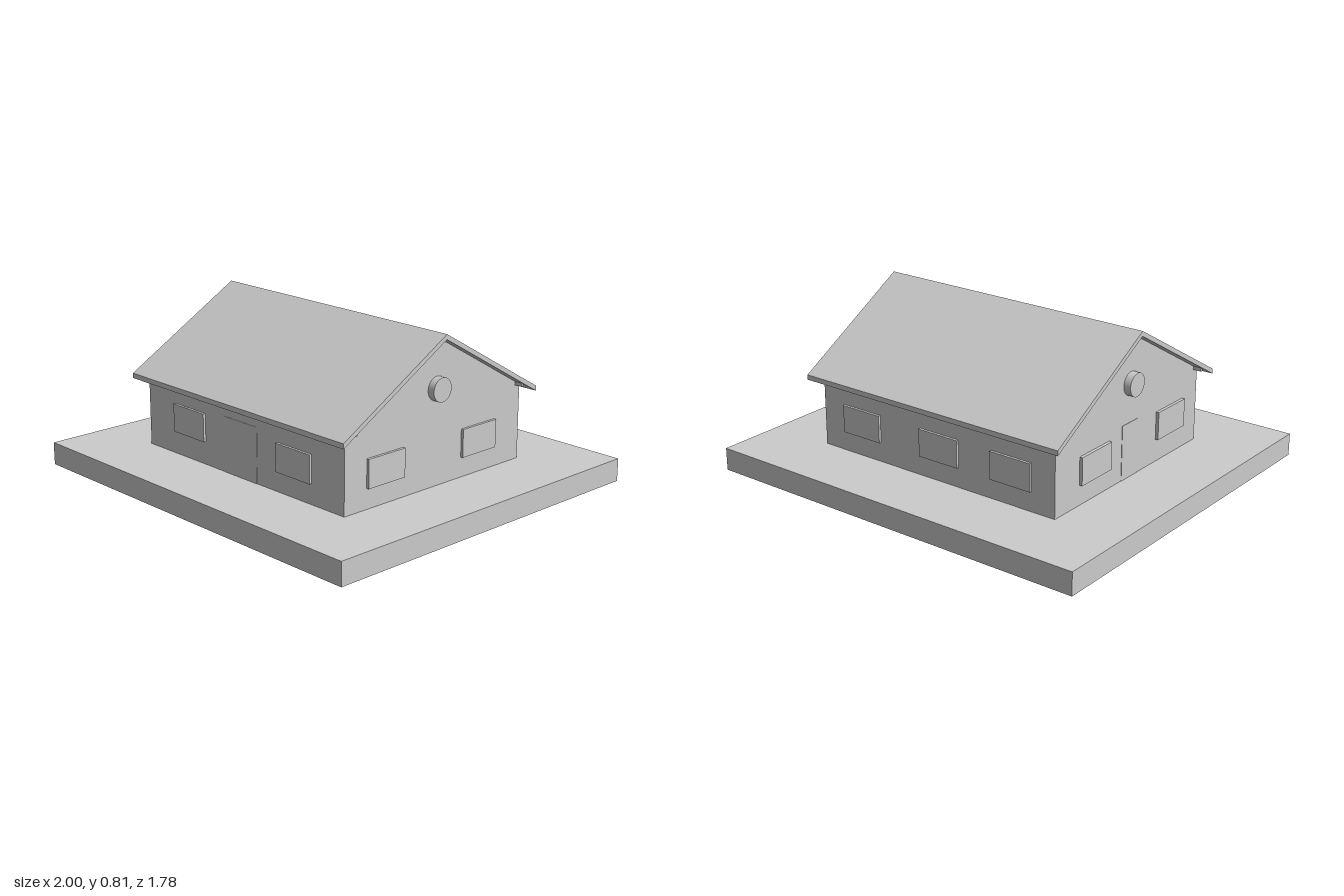
import * as THREE from 'three';

const grey = new THREE.MeshStandardMaterial({ color: 0xcccccc });
const doorGrey = new THREE.MeshStandardMaterial({ color: 0xc4c4c4 });

const SLAB = 0.11, WALL_X = 0.667, WALL_Z = 0.556; // slab top, wall half-sizes
const ROOF_X = 0.72, ROOF_Z = 0.612, RIDGE = 0.813, PITCH = 0.577, ROOF_T = 0.024;
const under = (z) => RIDGE - ROOF_T - PITCH * Math.abs(z); // roof underside height

export function createModel() {
  const model = new THREE.Group();
  model.name = 'house';

  const add = (name, geometry, material = grey) => {
    const mesh = new THREE.Mesh(geometry, material);
    mesh.name = name;
    model.add(mesh);
    return mesh;
  };
  // Box given by its lower and upper limits on each axis
  const box = (name, [x0, x1], [y0, y1], [z0, z1], material) =>
    add(name, new THREE.BoxGeometry(x1 - x0, y1 - y0, z1 - z0), material)
      .position.set((x0 + x1) / 2, (y0 + y1) / 2, (z0 + z1) / 2);
  // Symmetric gable profile (z, y) run along x
  const gable = (name, points, halfLength) => {
    const shape = new THREE.Shape(points.map(([z, y]) => new THREE.Vector2(z, y)));
    const geo = new THREE.ExtrudeGeometry(shape, { depth: 2 * halfLength, bevelEnabled: false });
    add(name, geo.translate(0, 0, -halfLength).rotateY(Math.PI / 2));
  };

  // Ground slab, open beneath the house
  const rect = (path, a, b) => path.moveTo(-a, -b).lineTo(a, -b).lineTo(a, b).lineTo(-a, b).closePath();
  const slab = rect(new THREE.Shape(), 1, 0.89);
  slab.holes.push(rect(new THREE.Path(), WALL_X, WALL_Z));
  add('groundSlab', new THREE.ExtrudeGeometry(slab, { depth: SLAB, bevelEnabled: false }).rotateX(-Math.PI / 2));

  // Walls with gable ends
  gable('walls', [
    [-WALL_Z, SLAB], [WALL_Z, SLAB], [WALL_Z, under(WALL_Z)], [0, under(0)], [-WALL_Z, under(WALL_Z)],
  ], WALL_X);

  // Pitched roof sheet
  const eave = under(ROOF_Z);
  gable('roof', [
    [-ROOF_Z, eave], [0, under(0)], [ROOF_Z, eave],
    [ROOF_Z, eave + ROOF_T], [0, RIDGE], [-ROOF_Z, eave + ROOF_T],
  ], ROOF_X);

  // Purlins under the roof at the ridge and eaves
  for (const z of [-0.53, 0, 0.53]) {
    const y = under(z);
    box('purlin', [-0.71, 0.71], [y - 0.014, y + 0.008], [z - 0.006, z + 0.006]);
  }

  // Front and back windows
  const low = [0.205, 0.338], high = [0.22, 0.355];
  box('frontWindow', [-0.47, -0.25], high, [WALL_Z, 0.568]);
  box('frontWindow', [0.245, 0.465], low, [WALL_Z, 0.568]);
  for (const x of [-0.433, -0.03, 0.43])
    box('backWindow', [x - 0.11, x + 0.11], low, [-0.568, -WALL_Z]);

  // Side windows
  for (const z of [-0.275, 0.315])
    box('leftWindow', [WALL_X, 0.68], low, [z - 0.11, z + 0.11]);
  box('rightWindow', [-0.682, -WALL_X], low, [-0.38, -0.16]);
  box('rightWindow', [-0.682, -WALL_X], high, [0.215, 0.435]);

  // Nearly flush doors
  box('frontDoor', [-0.115, 0.11], [SLAB, 0.375], [WALL_Z - 0.01, WALL_Z + 0.002], doorGrey);
  box('sideDoor', [-WALL_X - 0.002, -WALL_X + 0.01], [SLAB, 0.375], [-0.06, 0.065], doorGrey);

  // Round gable vents
  for (const side of [-1, 1]) {
    const vent = add('gableVent', new THREE.CylinderGeometry(0.056, 0.056, 0.06, 32).rotateZ(Math.PI / 2));
    vent.position.set(side * (WALL_X + 0.005), 0.56, 0);
  }

  return model;
}
